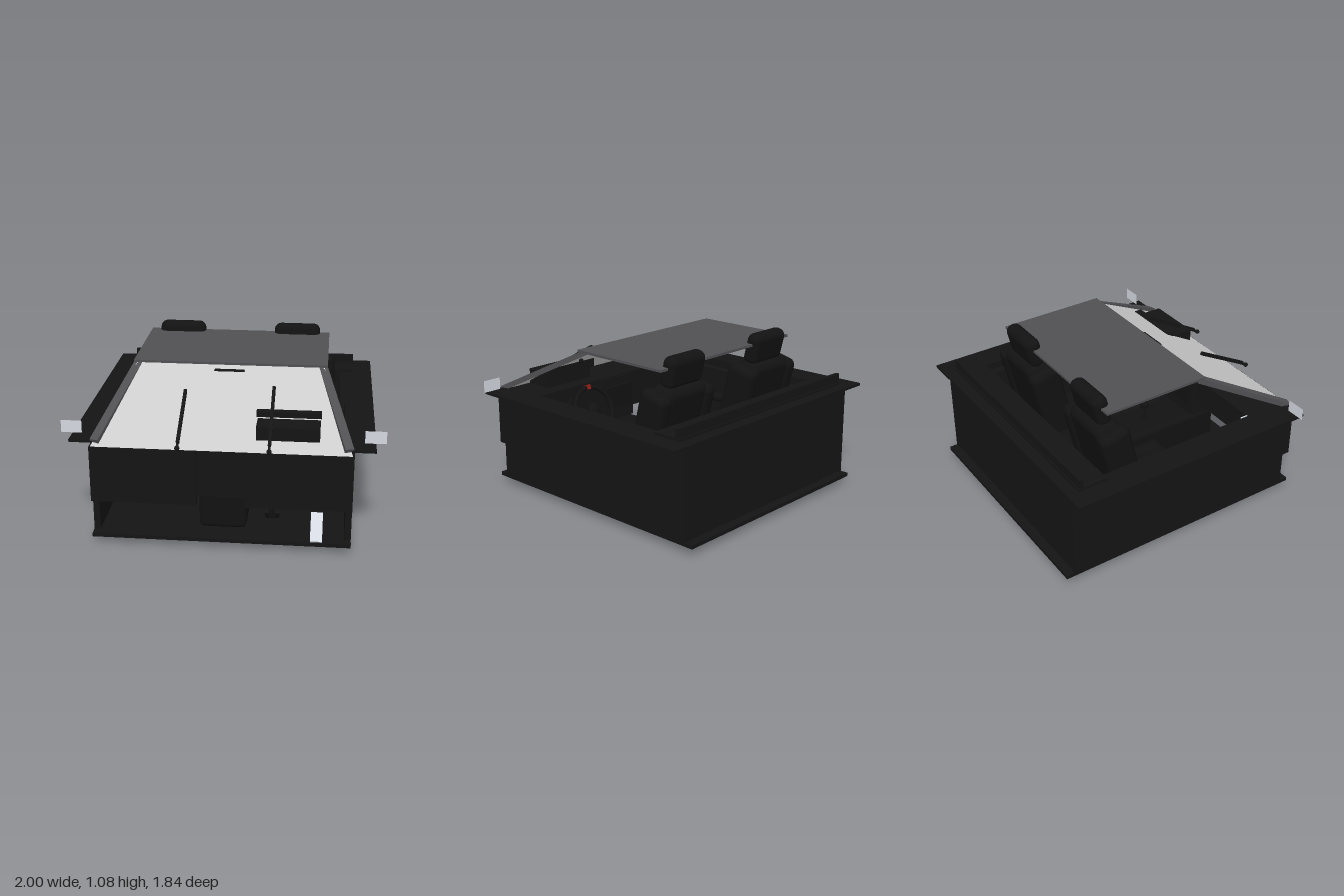
import * as THREE from 'three';
import { RoundedBoxGeometry } from 'three/addons/geometries/RoundedBoxGeometry.js';

const mat = (color, side = THREE.FrontSide) => new THREE.MeshStandardMaterial({ color, side });
const BLACK = mat(0x141415), SOFT = mat(0x121213), ROOF = mat(0x505053), RED = mat(0x901a16);
const GLASS = mat(0xcccccc, THREE.DoubleSide), LIGHT = mat(0xd4d8e0, THREE.DoubleSide), GREY = mat(0x505053);

export function createModel() {
  const model = new THREE.Group();

  const add = (parent, name, geometry, material, x = 0, y = 0, z = 0) => {
    const mesh = new THREE.Mesh(geometry, material);
    mesh.name = name;
    mesh.position.set(x, y, z);
    parent.add(mesh);
    return mesh;
  };
  // box given by its lower and upper limits
  const box = (name, [x0, x1], [y0, y1], [z0, z1], material = BLACK, parent = model, r = 0) =>
    add(parent, name,
      r ? new RoundedBoxGeometry(x1 - x0, y1 - y0, z1 - z0, 4, r) : new THREE.BoxGeometry(x1 - x0, y1 - y0, z1 - z0),
      material, (x0 + x1) / 2, (y0 + y1) / 2, (z0 + z1) / 2);
  // straight bar between two points
  const bar = (name, a, b, w, h, material = BLACK, parent = model) => {
    const p = new THREE.Vector3(...a), q = new THREE.Vector3(...b);
    const mesh = add(parent, name, new THREE.BoxGeometry(w, h, p.distanceTo(q)), material);
    mesh.position.copy(p).add(q).multiplyScalar(0.5);
    mesh.lookAt(q);
    return mesh;
  };
  // flat sheet from four corners, anticlockwise seen from its front
  const sheet = (name, corners, material) => {
    const g = new THREE.BufferGeometry();
    g.setAttribute('position', new THREE.Float32BufferAttribute(corners.flat(), 3));
    g.setIndex([0, 1, 2, 0, 2, 3]);
    g.computeVertexNormals();
    return add(model, name, g, material);
  };

  // tub: floor, rear wall and rear shelf
  box('floor', [-0.81, 0.81], [0.05, 0.075], [-0.92, 0.86]);
  box('rearWall', [-0.79, 0.79], [0.075, 0.68], [-0.86, -0.83]);
  box('rearSill', [-0.81, 0.81], [0.675, 0.692], [-0.895, -0.8]);
  box('rearShelf', [-0.81, 0.81], [0.692, 0.71], [-0.82, -0.62]);
  box('rearShelfLip', [-0.81, 0.81], [0.69, 0.77], [-0.812, -0.785]);

  // dashboard: front panels, upper body and centre stack
  for (const s of [-1, 1]) {
    const xs = s < 0 ? [-0.81, -0.15] : [0.15, 0.81];
    box('dashboardFront', xs, [0.295, 0.66], [0.8, 0.853]);
    box('dashboardBody', xs, [0.45, 0.66], [0.56, 0.8]);
  }
  box('dashboardCentre', [-0.15, 0.15], [0.35, 0.66], [0.52, 0.83]);
  box('dashboardTop', [-0.79, 0.79], [0.655, 0.67], [0.53, 0.83]);
  box('centreScreen', [-0.12, 0.12], [0.44, 0.6], [0.5, 0.53], SOFT);

  // instrument hood
  box('hoodBody', [0.21, 0.6], [0.69, 0.795], [0.58, 0.765]);
  box('hoodVisor', [0.2, 0.605], [0.77, 0.832], [0.55, 0.605]);

  // steering wheel
  const wheel = new THREE.Group();
  wheel.name = 'steeringWheel';
  wheel.position.set(0.4, 0.54, 0.34);
  wheel.rotation.x = 0.4;
  model.add(wheel);
  add(wheel, 'wheelRim', new THREE.TorusGeometry(0.16, 0.016, 12, 40), SOFT);
  add(wheel, 'wheelHub', new THREE.SphereGeometry(0.05, 20, 12), SOFT).scale.z = 0.5;
  for (const a of [0, Math.PI, -Math.PI / 2]) {
    bar('wheelSpoke', [0, 0, 0], [0.16 * Math.cos(a), 0.16 * Math.sin(a), 0], 0.025, 0.012, SOFT, wheel);
  }
  bar('wheelColumn', [0, 0, 0], [0, 0, 0.26], 0.05, 0.05, SOFT, wheel);
  box('wheelMarker', [-0.015, 0.015], [0.145, 0.178], [-0.018, 0.018], RED, wheel);

  // pedals and footrest
  bar('acceleratorPedal', [0.305, 0.01, 0.49], [0.305, 0.13, 0.57], 0.09, 0.02);
  bar('acceleratorArm', [0.305, 0.1, 0.57], [0.305, 0.46, 0.68], 0.04, 0.025);
  bar('brakePedal', [0.48, 0.15, 0.54], [0.48, 0.2, 0.57], 0.1, 0.015);
  bar('brakeArm', [0.48, 0.18, 0.57], [0.48, 0.46, 0.68], 0.025, 0.025);
  bar('footrest', [0.595, 0.08, 0.855], [0.595, 0.195, 0.68], 0.075, 0.012, LIGHT);

  // centre console
  box('centreConsole', [-0.15, 0.15], [0.075, 0.35], [-0.62, 0.72], SOFT, model, 0.035);
  box('consoleArmrest', [-0.13, 0.13], [0.33, 0.42], [-0.5, -0.15], SOFT, model, 0.03);
  add(model, 'gearStick', new THREE.CylinderGeometry(0.012, 0.016, 0.12, 16), BLACK, 0, 0.4, 0.22);
  add(model, 'gearKnob', new THREE.SphereGeometry(0.03, 20, 14), SOFT, 0, 0.47, 0.22);
  box('rearConsole', [-0.15, 0.15], [0.3, 0.58], [-0.62, -0.53], SOFT);

  for (const s of [-1, 1]) {
    const span = (a, b) => (s > 0 ? [a, b] : [-b, -a]);

    // door, sill and armrest
    box('sideWall', span(0.77, 0.81), [0.07, 0.675], [-0.865, 0.8]);
    box('sideSill', span(0.75, 0.94), [0.675, 0.692], [-0.9, 0.82]);
    box('doorPanel', span(0.715, 0.77), [0.09, 0.63], [-0.82, 0.45]);
    box('doorArmrest', span(0.66, 0.74), [0.4, 0.45], [-0.2, 0.25], SOFT, model, 0.02);
    box('doorHandle', span(0.715, 0.75), [0.64, 0.67], [0.48, 0.53], LIGHT);
    box('consoleTrim', span(0.148, 0.154), [0.57, 0.585], [-0.62, -0.54], RED);

    // windscreen pillar and mirror
    bar('windscreenPillar', [s * 0.778, 0.685, 0.825], [s * 0.597, 1.002, 0.205], 0.055, 0.035, ROOF);
    const [m0, m1] = span(0.87, 1);
    sheet('sideMirror', [[m0, 0.71, 0.75], [m1, 0.71, 0.75], [m1, 0.79, 0.75], [m0, 0.79, 0.75]], LIGHT);
    add(model, 'visorClip', new THREE.SphereGeometry(0.016, 12, 8), BLACK, s * 0.57, 0.932, 0.27);

    // seat
    const seat = new THREE.Group();
    seat.name = 'seat';
    seat.position.x = s * 0.42;
    model.add(seat);
    box('seatBase', [-0.21, 0.21], [0.025, 0.16], [-0.27, 0.13], BLACK, seat, 0.02).position.x = -s * 0.01;
    box('seatCushion', [-0.2, 0.2], [0.15, 0.29], [-0.35, 0.22], SOFT, seat, 0.06);
    const back = new THREE.Group();
    back.name = 'seatBack';
    back.position.set(0, 0.25, -0.3);
    back.rotation.x = -0.24;
    seat.add(back);
    box('backCushion', [-0.19, 0.19], [-0.04, 0.67], [-0.1, 0.075], SOFT, back, 0.06);
    for (const t of [-1, 1]) {
      box('cushionBolster', t > 0 ? [0.15, 0.255] : [-0.255, -0.15], [0.15, 0.31], [-0.35, 0.2], SOFT, seat, 0.045);
      box('backBolster', t > 0 ? [0.14, 0.255] : [-0.255, -0.14], [0, 0.645], [-0.115, 0.1], SOFT, back, 0.05);
    }
    box('headrest', [-0.16, 0.16], [0.645, 0.86], [-0.05, 0.057], SOFT, back, 0.048).position.x = -s * 0.015;

    // seat belt sheet with red edge
    const belt = (name, a, b, material) => {
      const [x0, x1] = span(a, b);
      sheet(name, [[x0, 0.385, 0.03], [x1, 0.385, 0.03], [x1, 1, -0.42], [x0, 1, -0.42]], material);
    };
    belt('beltEdge', 0.33, 0.375, RED);
    belt('belt', 0.375, 0.56, GREY);
  }

  // windscreen and roof
  sheet('windscreen', [[-0.8, 0.662, 0.85], [0.8, 0.662, 0.85], [0.605, 1.015, 0.22], [-0.605, 1.015, 0.22]], GLASS);
  box('roof', [-0.63, 0.63], [1.008, 1.024], [-0.5, 0.235], ROOF);
  box('roofLamp', [-0.06, 0.06], [0.98, 1.01], [-0.19, -0.07], BLACK, model, 0.012);
  box('rearViewMirror', [-0.1, 0.1], [0.97, 0.99], [0.252, 0.284], BLACK, model, 0.009);

  // wipers
  for (const [x, y, z] of [[-0.255, 0.92, 0.5], [0.3, 0.945, 0.46]]) {
    const wiper = new THREE.Group();
    wiper.name = 'wiper';
    model.add(wiper);
    add(wiper, 'wiperPivot', new THREE.SphereGeometry(0.016, 14, 10), BLACK, x, 0.695, 0.9);
    bar('wiperArm', [x, 0.695, 0.9], [x, y - 0.09, z + 0.17], 0.014, 0.014, BLACK, wiper);
    bar('wiperBlade', [x, 0.72, 0.87], [x, y, z], 0.02, 0.022, BLACK, wiper);
  }
  return model;
}
